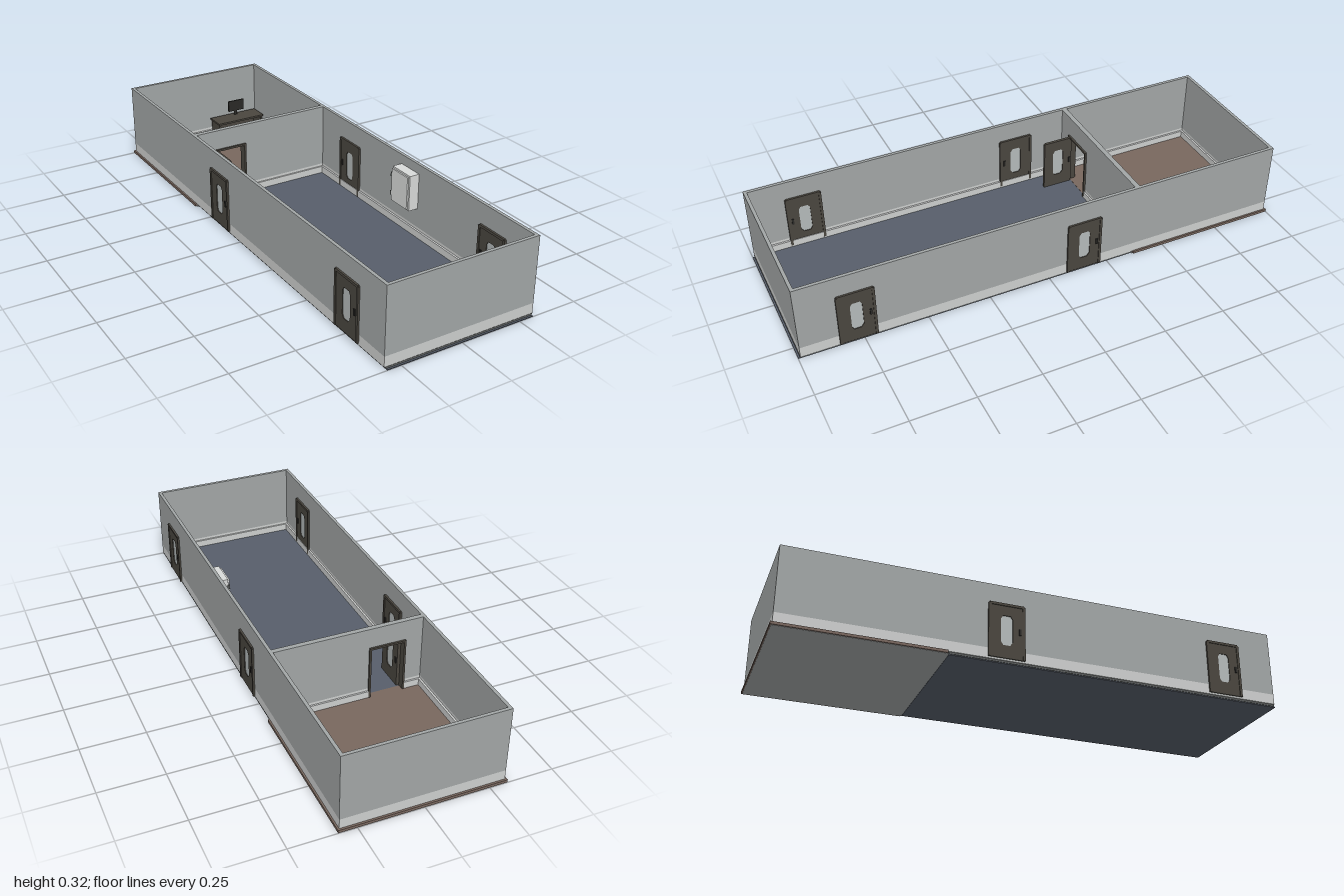
import * as THREE from 'three';

const mat = (name, color) => {
  const m = new THREE.MeshStandardMaterial({ color });
  m.name = name;
  return m;
};

export function createModel() {
  const root = new THREE.Group();
  root.name = 'openRooms';
  const M = {
    wall: mat('wallGrey', 0xa2a6a6),
    band: mat('skirtingLightGrey', 0xcdcfce),
    blue: mat('floorBlue', 0x575e6a),
    brown: mat('floorBrown', 0x78675e),
    dark: mat('doorDarkBrown', 0x4a463f),
    glass: mat('glassPaleGrey', 0xb4baba),
    trim: mat('trimGrey', 0x636665),
    white: mat('cabinetWhite', 0xd8dad9),
    black: mat('screenBlack', 0x2a2927),
  };

  // Box given by its min and max corners
  const box = (name, m, x0, x1, y0, y1, z0, z1, parent = root) => {
    const mesh = new THREE.Mesh(new THREE.BoxGeometry(x1 - x0, y1 - y0, z1 - z0), m);
    mesh.position.set((x0 + x1) / 2, (y0 + y1) / 2, (z0 + z1) / 2);
    mesh.name = name;
    parent.add(mesh);
    return mesh;
  };

  // Floors
  box('mainFloorBase', M.blue, -0.305, 0.31, 0, 0.003, -0.36, 1);
  box('mainFloorEdge', M.trim, -0.308, 0.31, 0.003, 0.01, -0.36, 0.993);
  box('mainFloor', M.blue, -0.3, 0.3, 0.01, 0.011, -0.37, 0.985);
  box('backFloorUnderside', M.wall, -0.315, 0.315, 0, 0.002, -0.995, -0.361);
  box('backFloor', M.brown, -0.32, 0.32, 0.001, 0.012, -1, -0.366);

  // Outer walls: light band below, grey above, skirting ledge inside
  const X = 0.313, XI = 0.3, Y0 = 0.01, YB = 0.051, Y1 = 0.317, Z = 0.992, ZI = 0.979;
  for (const s of [-1, 1]) {
    const xa = Math.min(s * X, s * XI), xb = Math.max(s * X, s * XI);
    const za = Math.min(s * Z, s * ZI), zb = Math.max(s * Z, s * ZI);
    box('sideWallBand', M.band, xa, xb, Y0, YB, -Z, Z);
    box('sideWall', M.wall, xa, xb, YB, Y1, -Z, Z);
    box('endWallBand', M.band, -XI, XI, Y0, YB, za, zb);
    box('endWall', M.wall, -XI, XI, YB, Y1, za, zb);
    // end faces of the side walls are flush with the end walls
    const xs = s > 0 ? [0.292, XI] : [-XI, -0.292];
    box('sideSkirting', M.band, xs[0], xs[1], Y0, 0.04, -ZI, ZI);
    const zs = s > 0 ? [0.971, ZI] : [-ZI, -0.971];
    box('endSkirting', M.band, -XI, XI, Y0, 0.04, zs[0], zs[1]);
  }

  // Partition with a doorway
  const PA = -0.383, PB = -0.363, DX0 = -0.23, DX1 = -0.08, DT = 0.235;
  for (const [a, b] of [[-XI, DX0], [DX1, XI]]) {
    box('partitionBand', M.band, a, b, Y0, YB, PA, PB);
    box('partitionWall', M.wall, a, b, YB, Y1, PA, PB);
    box('partitionSkirting', M.band, a, b, Y0, 0.04, PA - 0.007, PB + 0.007);
  }
  box('partitionLintel', M.wall, DX0, DX1, DT, Y1, PA, PB);
  const jamb = new THREE.Group();
  jamb.name = 'doorwayFrame';
  root.add(jamb);
  box('jamb', M.dark, DX0, DX0 + 0.008, Y0, DT, PA - 0.008, PB + 0.008, jamb);
  box('jamb', M.dark, DX1 - 0.008, DX1, Y0, DT, PA - 0.008, PB + 0.008, jamb);
  box('jambHead', M.dark, DX0, DX1, DT - 0.008, DT, PA - 0.008, PB + 0.008, jamb);

  // Door leaf in the XY plane, centred on x, standing on y = 0, with a chamfered window
  const polygon = (target, pts) => {
    pts.forEach(([x, y], i) => (i ? target.lineTo(x, y) : target.moveTo(x, y)));
    target.closePath();
    return target;
  };
  const windowPoints = [
    [-0.015, 0.052], [0.012, 0.052], [0.023, 0.066], [0.023, 0.16],
    [0.015, 0.173], [-0.015, 0.173], [-0.023, 0.16], [-0.023, 0.066],
  ];
  const makeDoor = (name, w, h, t, framed) => {
    const g = new THREE.Group();
    g.name = name;
    const shape = polygon(new THREE.Shape(), [
      [-w / 2, 0], [w / 2, 0], [w / 2, h - 0.005], [w / 2 - 0.005, h],
      [-w / 2 + 0.005, h], [-w / 2, h - 0.005]]);
    shape.holes.push(polygon(new THREE.Path(), windowPoints));
    const leaf = new THREE.Mesh(
      new THREE.ExtrudeGeometry(shape, { depth: t, bevelEnabled: false }), M.dark);
    leaf.position.z = -t / 2;
    leaf.name = 'doorLeaf';
    g.add(leaf);
    box('doorGlass', M.glass, -0.024, 0.024, 0.051, 0.174, -t / 2 + 0.003, t / 2 - 0.003, g);
    // raised frame
    if (framed) {
      const d = t / 2 + 0.003;
      box('frameSide', M.dark, -w / 2, -w / 2 + 0.01, 0, h - 0.005, -d, d, g);
      box('frameSide', M.dark, w / 2 - 0.01, w / 2, 0, h - 0.005, -d, d, g);
      box('frameHead', M.dark, -w / 2 + 0.005, w / 2 - 0.005, h - 0.01, h, -d, d, g);
    }
    // handles and lock plates on both faces
    for (const s of [-1, 1]) {
      const a = s * t / 2, b = s * (t / 2 + 0.004);
      box('doorHandle', M.black, 0.048, 0.056, 0.1, 0.125, Math.min(a, b), Math.max(a, b), g);
    }
    root.add(g);
    return g;
  };

  // Four outer doors
  for (const s of [-1, 1]) {
    for (const z of [0.772, -0.143]) {
      const door = makeDoor('outerDoor', 0.145, 0.223, 0.023, true);
      door.rotation.y = s * Math.PI / 2;
      door.position.set(s * 0.306, s > 0 ? 0.012 : 0.017, z);
    }
  }

  // Inner door, swung open
  const inner = makeDoor('innerDoor', 0.125, 0.218, 0.012, false);
  inner.rotation.y = Math.PI / 2;
  inner.position.set(-0.216, 0.014, -0.3);

  // Wall cabinet
  const cabinet = new THREE.Group();
  cabinet.name = 'wallCabinet';
  root.add(cabinet);
  box('cabinetBody', M.white, 0.258, 0.3, 0.13, 0.278, 0.216, 0.33, cabinet);
  box('cabinetDoor', M.white, 0.25, 0.256, 0.136, 0.272, 0.222, 0.324, cabinet);
  box('cabinetSeal', M.trim, 0.255, 0.259, 0.14, 0.268, 0.226, 0.32, cabinet);
  for (const y of [0.155, 0.235]) {
    box('cabinetHinge', M.trim, 0.252, 0.262, y, y + 0.018, 0.212, 0.222, cabinet);
  }

  // Desk with a screen
  const desk = new THREE.Group();
  desk.name = 'desk';
  root.add(desk);
  box('deskTop', M.dark, 0.058, 0.29, 0.095, 0.103, -0.965, -0.877, desk);
  for (const x of [0.062, 0.278]) {
    box('deskSide', M.dark, x, x + 0.008, 0.012, 0.095, -0.96, -0.882, desk);
  }
  box('deskBack', M.dark, 0.07, 0.278, 0.04, 0.095, -0.96, -0.954, desk);
  box('screenStand', M.black, 0.172, 0.188, 0.103, 0.14, -0.949, -0.945, desk);
  box('screen', M.black, 0.142, 0.22, 0.125, 0.175, -0.947, -0.94, desk);

  return root;
}
